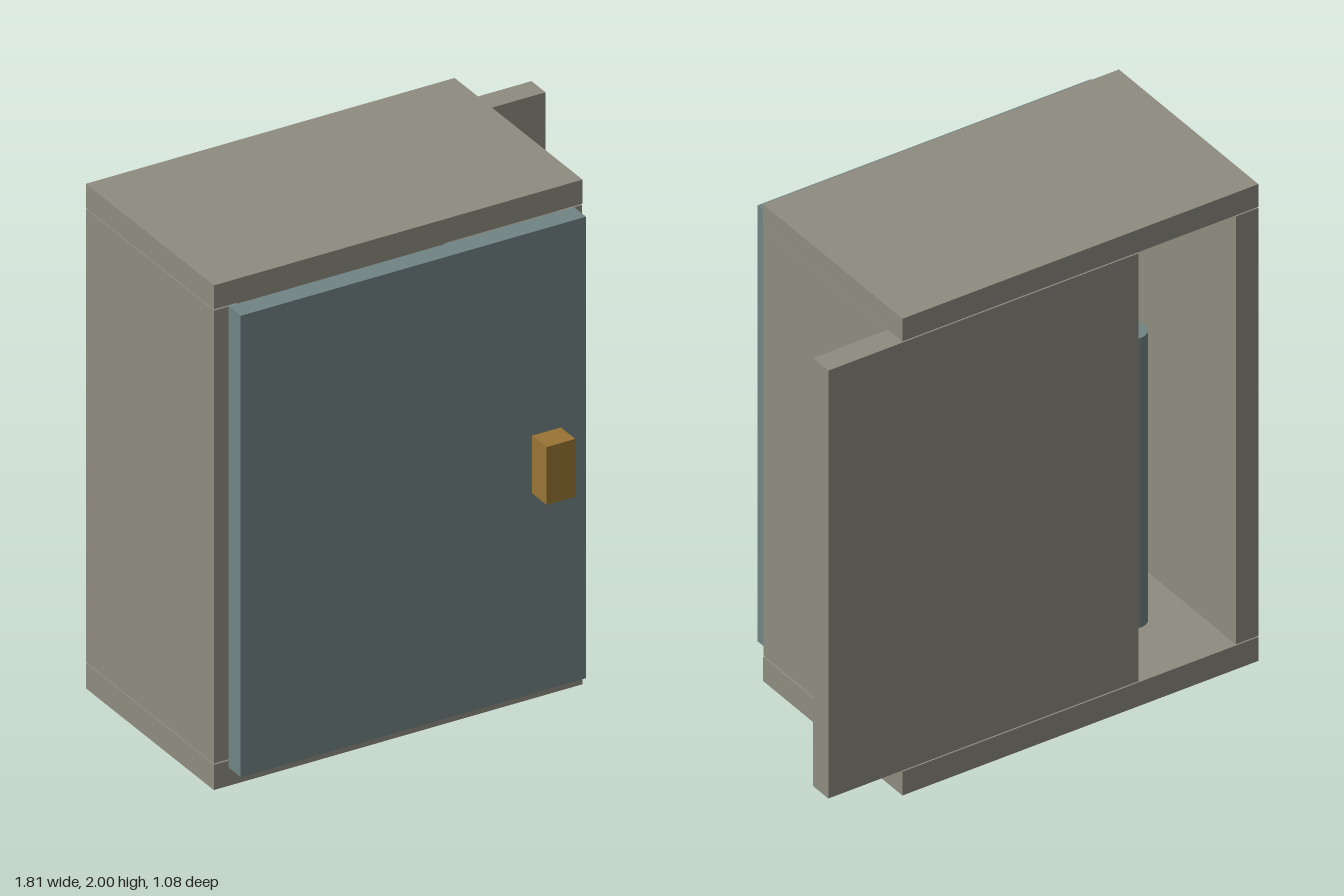
import * as THREE from 'three';

const material = (name, color) => {
  const m = new THREE.MeshStandardMaterial({ color });
  m.name = name;
  return m;
};

export function createModel() {
  const group = new THREE.Group();
  const body = material('warm grey', 0x8f8c80);
  const blue = material('slate blue', 0x718485);
  const brass = material('brass', 0x9a7535);
  const cream = material('cream', 0xbdbbad);

  const add = (name, geometry, mat) => {
    const mesh = new THREE.Mesh(geometry, mat);
    mesh.name = name;
    group.add(mesh);
    return mesh;
  };
  // box given by its minimum and maximum on each axis
  const box = (name, mat, [x0, x1], [y0, y1], [z0, z1]) =>
    add(name, new THREE.BoxGeometry(x1 - x0, y1 - y0, z1 - z0), mat)
      .position.set((x0 + x1) / 2, (y0 + y1) / 2, (z0 + z1) / 2);

  // cabinet shell, open at front and back
  const width = [-0.905, 0.593], depth = [-0.54, 0.325], wallY = [0.105, 1.9];
  box('bottomPanel', body, width, [0, 0.1], depth);
  box('topPanel', body, width, [1.905, 2], depth);
  box('rightWall', body, [-0.905, -0.81], wallY, depth);
  box('leftWall', body, [0.495, 0.59], wallY, depth);

  // back panel, slid out sideways
  box('backPanel', body, [-0.4, 0.905], wallY, [-0.54, -0.445]);

  // door and handle, standing just clear of the shell
  box('door', blue, [-0.86, 0.543], [0.088, 1.917], [0.35, 0.432]);
  box('handle', brass, [0.318, 0.434], [0.888, 1.117], [0.442, 0.54]);

  // contents: a round drum facing the back and an upright post
  const drum = add('drum', new THREE.CylinderGeometry(0.265, 0.265, 0.165, 18).rotateX(Math.PI / 2), cream);
  drum.position.set(-0.155, 1.06, 0.088);
  const post = add('post', new THREE.CylinderGeometry(0.057, 0.057, 1.215, 16), blue);
  post.position.set(-0.6, 0.708, -0.205);

  return group;
}
